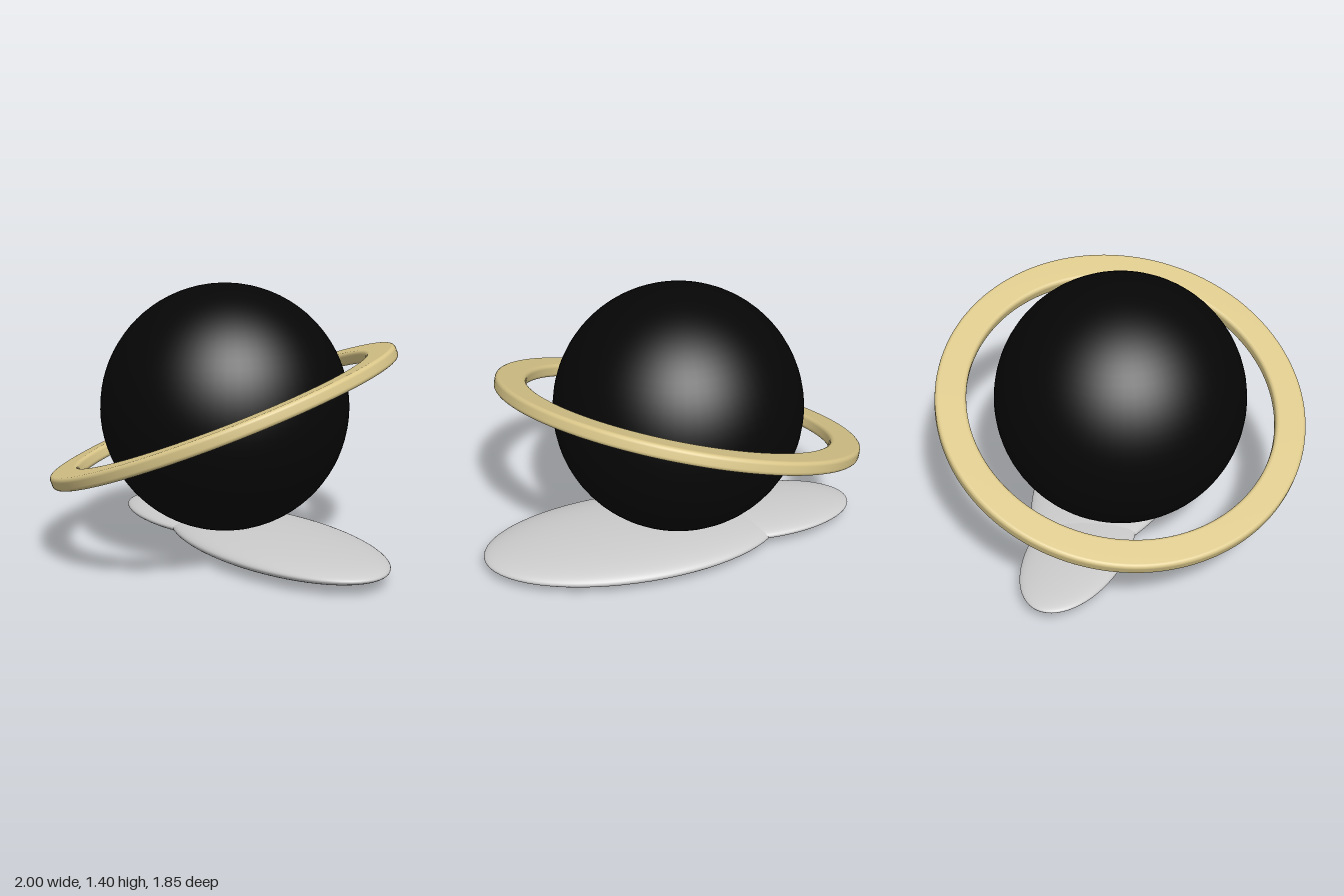
import * as THREE from 'three';

const mat = (color) => new THREE.MeshStandardMaterial({ color });

// Smooth ellipsoid from a unit sphere
function ellipsoid(name, color, center, radii) {
  const geometry = new THREE.SphereGeometry(1, 64, 40);
  geometry.scale(...radii);
  const mesh = new THREE.Mesh(geometry, mat(color));
  mesh.name = name;
  mesh.position.set(...center);
  return mesh;
}

// Flat band with rounded edges, turned around the y axis
function ringGeometry(inner, outer, height, bevel) {
  const profile = [];
  const corners = [
    [outer - bevel, -height / 2 + bevel, -Math.PI / 2],
    [outer - bevel, height / 2 - bevel, 0],
    [inner + bevel, height / 2 - bevel, Math.PI / 2],
    [inner + bevel, -height / 2 + bevel, Math.PI],
  ];
  for (const [x, y, start] of corners) {
    for (let i = 0; i <= 5; i++) {
      const a = start + (i / 5) * Math.PI / 2;
      profile.push(new THREE.Vector2(x + bevel * Math.cos(a), y + bevel * Math.sin(a)));
    }
  }
  profile.push(profile[0].clone());
  return new THREE.LatheGeometry(profile, 128);
}

export function createModel() {
  const model = new THREE.Group();
  model.name = 'ringedPlanet';

  // Planet ball
  model.add(ellipsoid('planet', 0x060606, [-0.065, 0.76, -0.01], [0.643, 0.64, 0.643]));

  // Tilted ring: high on the left and back
  const ring = new THREE.Mesh(ringGeometry(0.795, 0.952, 0.07, 0.02), mat(0xd9c689));
  ring.name = 'ring';
  ring.position.set(-0.065, 0.72, 0);
  ring.quaternion.setFromUnitVectors(
    new THREE.Vector3(0, 1, 0),
    new THREE.Vector3(-0.27, 0.93, 0.25).normalize()
  );
  model.add(ring);

  // Two overlapping flat clouds as the base
  model.add(ellipsoid('largeCloud', 0xcccccc, [0.21, 0.077, -0.135], [0.79, 0.075, 0.388]));
  model.add(ellipsoid('smallCloud', 0xcccccc, [-0.5, 0.08, -0.075], [0.5, 0.05, 0.255]));

  return model;
}
